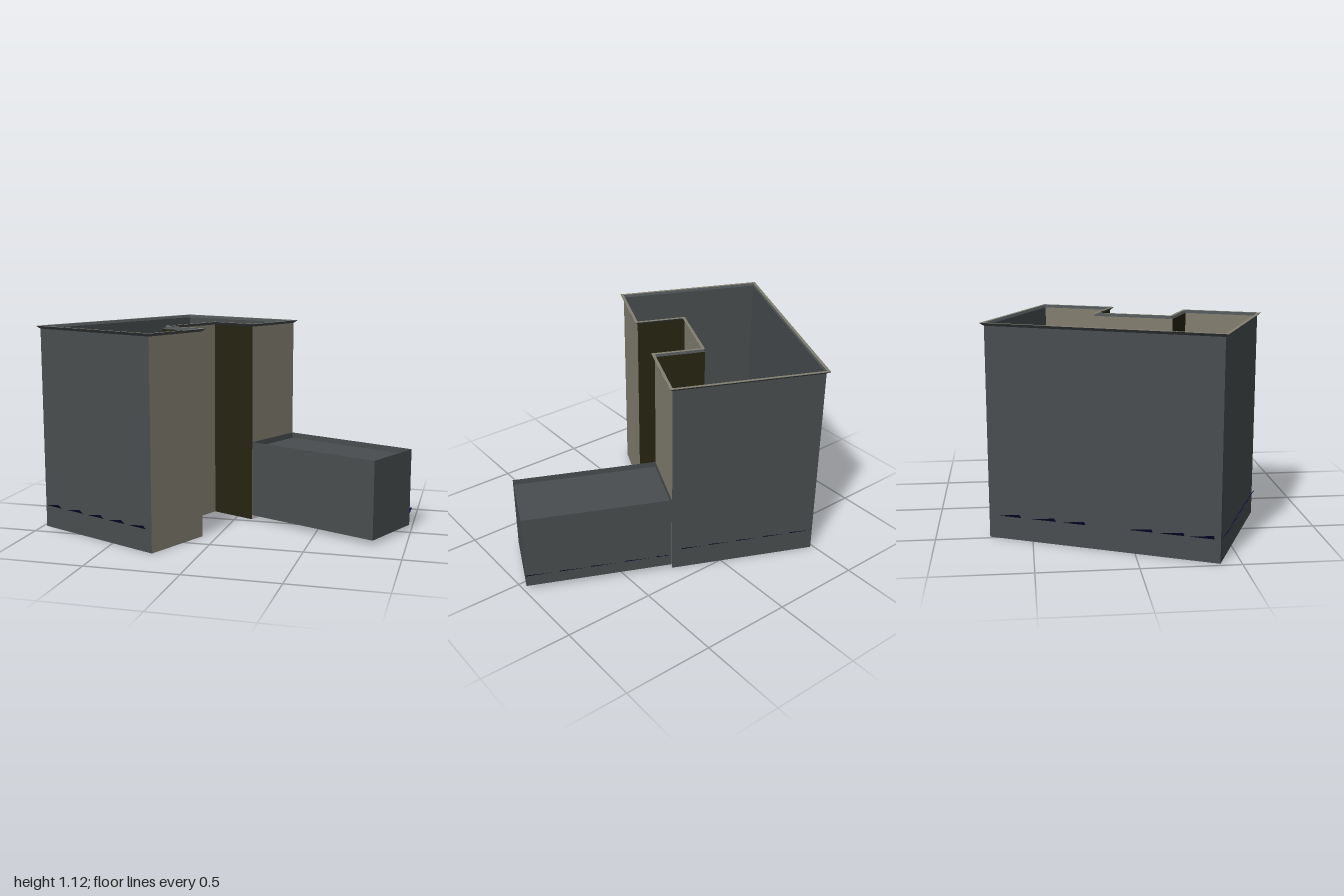
import * as THREE from 'three';

const mat = (name, color) => {
  const m = new THREE.MeshStandardMaterial({ color, side: THREE.DoubleSide });
  m.name = name;
  return m;
};

// Flat polygon from 3D corners (triangle fan)
function face(...pts) {
  const pos = [];
  for (let i = 1; i < pts.length - 1; i++) pos.push(...pts[0], ...pts[i], ...pts[i + 1]);
  const g = new THREE.BufferGeometry();
  g.setAttribute('position', new THREE.Float32BufferAttribute(pos, 3));
  g.computeVertexNormals();
  return g;
}

// Horizontal slab face from a plan outline, facing up or down
function plan(outline, y, hole) {
  const toVec = ([u, v]) => new THREE.Vector2(u, -v);
  const shape = new THREE.Shape(outline.map(toVec));
  if (hole) shape.holes.push(new THREE.Path(hole.map(toVec)));
  return new THREE.ShapeGeometry(shape).rotateX(-Math.PI / 2).translate(0, y, 0);
}

const upright = ([u0, v0], [u1, v1], y0, y1) =>
  face([u0, y0, v0], [u0, y1, v0], [u1, y1, v1], [u1, y0, v1]);

export function createModel() {
  const grey = mat('dark grey', 0x484d4f);
  const olive = mat('olive grey', 0x827f70);
  const darkOlive = mat('dark olive', 0x262411);
  const pale = mat('pale grey', 0xd0cece);
  const navy = mat('navy', 0x0b0b40);

  const model = new THREE.Group();
  model.name = 'building';
  // The building is laid out square, then turned on its plot
  const plot = new THREE.Group();
  plot.name = 'plot';
  plot.rotation.y = -0.4194;
  plot.position.set(-0.483, 0, -0.72);
  model.add(plot);
  const add = (name, geometry, material) => {
    const m = new THREE.Mesh(geometry, material);
    m.name = name;
    plot.add(m);
  };

  // Main block: U-shaped plan, with the outward direction of each corner
  const W = 0.81, L = 1.22, N = 0.535, V0 = 0.39, V1 = 0.825, H = 1.105;
  const corners = [[0, 0], [W, 0], [W, V0], [N, V0], [N, V1], [W, V1], [W, L], [0, L]];
  const out = [[-1, -1], [1, -1], [1, 1], [1, 1], [1, -1], [1, -1], [1, 1], [-1, 1]];
  const wallMats = [grey, olive, darkOlive, olive, darkOlive, olive, grey, grey];
  const eaves = corners.map(([u, v], i) => [u + out[i][0] * 0.017, v + out[i][1] * 0.017]);

  add('floor', plan(corners, 0.003), pale);
  corners.forEach((p, i) => {
    const j = (i + 1) % corners.length, q = corners[j];
    add('wall', upright(p, q, i === 1 ? 0.025 : 0, H), wallMats[i]);
    // Flared underside of the rim
    const [a, b] = [eaves[i], eaves[j]];
    add('rimFlare', face([p[0], H, p[1]], [a[0], H + 0.015, a[1]],
      [b[0], H + 0.015, b[1]], [q[0], H, q[1]]), grey);
  });
  add('sill', upright(corners[1], corners[2], 0, 0.025), pale);
  add('rimTop', plan(eaves, H + 0.016, corners), olive);

  // Low wing with a shallow parapet
  const u0 = W + 0.002, u1 = 1.61;
  const wing = [[u0, 0], [u1, 0], [u1, V0], [u0, V0]];
  wing.forEach((p, i) => add('wingWall', upright(p, wing[(i + 1) % 4], 0.025, 0.452), grey));
  add('wingFloor', plan(wing, 0.026), pale);
  add('wingRoof', plan(wing, 0.42), grey);

  // Leaning triangular fins along three sides
  // o: wall start, d: direction along the wall, n: outward direction
  const fins = (o, d, n, y, starts, len) => starts.forEach((s) => {
    const at = (t, h, k) => [o[0] + d[0] * t + n[0] * k, y + h, o[1] + d[1] * t + n[1] * k];
    add('fin', face(at(s, 0, 0.003), at(s + len, 0, 0.003), at(s + len, 0.026, 0.028)), navy);
  });
  fins([0, 0], [1, 0], [0, -1], 0.122, [0.01, 0.165, 0.32, 0.475, 0.63], 0.13);
  fins([0, L], [1, 0], [0, 1], 0.122, [0, 0.175, 0.335, 0.49, 0.645], 0.13);
  fins([0, 0], [0, 1], [-1, 0], 0.122, [0.05, 0.24, 0.4, 0.75, 0.91, 1.06], 0.13);
  fins([0, 0], [1, 0], [0, -1], 0.092, [0.925, 1.11, 1.28, 1.46], 0.15);
  fins([0, 0], [1, 0], [0, -1], 0.092, [0.815, 0.86], 0.04);

  return model;
}
